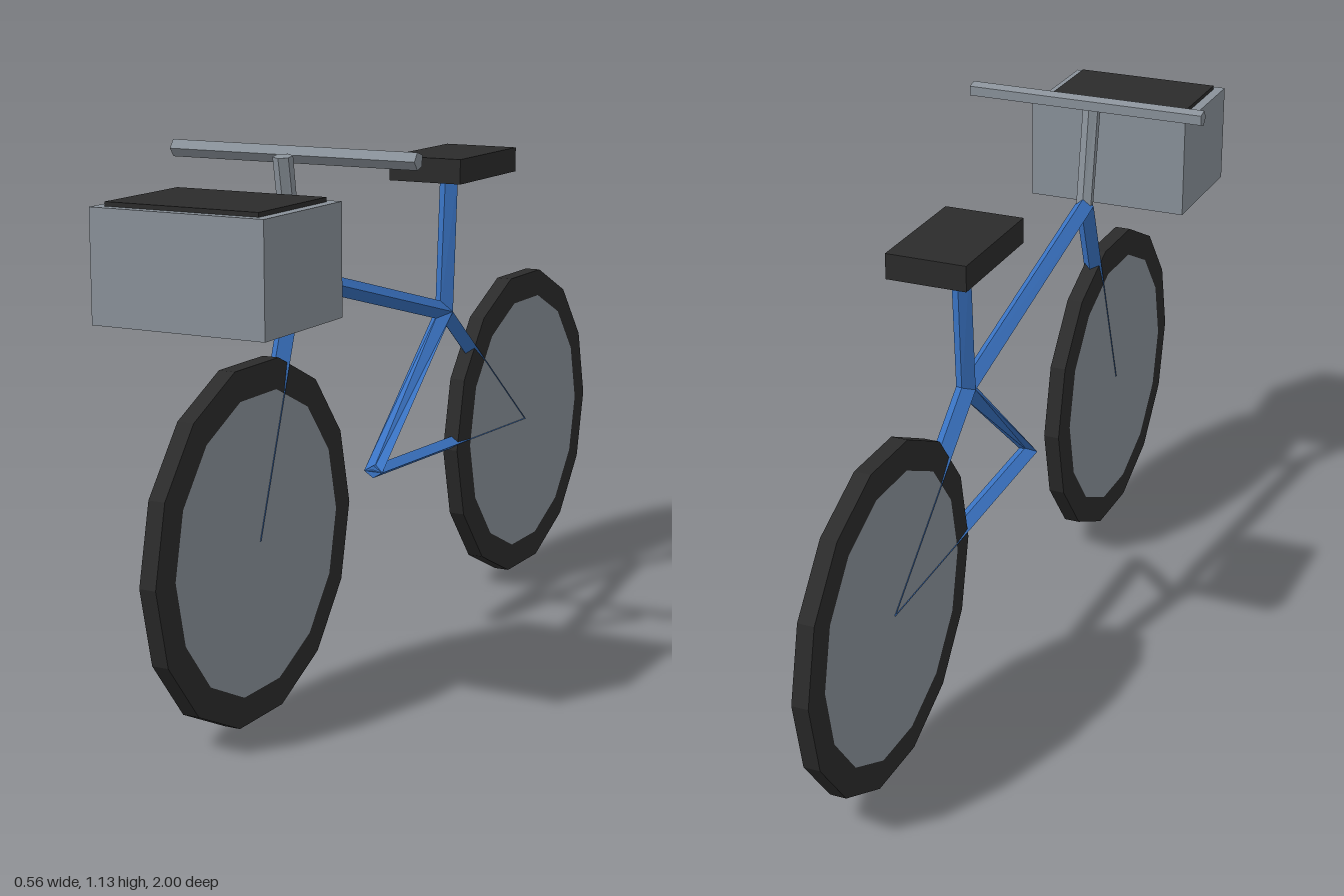
import * as THREE from 'three';

const paint = (name, color) => new THREE.MeshStandardMaterial({ name, color, flatShading: true });

export function createModel() {
  const blue = paint('frame blue', 0x3a74c4);
  const grey = paint('metal grey', 0x8a929a);
  const black = paint('rubber black', 0x2b2b2b);

  const bike = new THREE.Group();
  bike.name = 'bicycle';

  const add = (parent, name, geometry, material, x = 0, y = 0, z = 0) => {
    const mesh = new THREE.Mesh(geometry, material);
    mesh.name = name;
    mesh.position.set(x, y, z);
    parent.add(mesh);
    return mesh;
  };

  // Straight bar between two [z, y] points, with its own thickness at each end
  const bar = (name, a, b, ta, tb, material = blue, sides = 4, halfWidth = 0.0225) => {
    const dz = b[0] - a[0], dy = b[1] - a[1];
    const g = new THREE.CylinderGeometry(1, 1, Math.hypot(dz, dy), sides);
    const p = g.attributes.position;
    for (let i = 0; i < p.count; i++) {
      p.setX(i, p.getX(i) * halfWidth);
      p.setZ(i, p.getZ(i) * (p.getY(i) > 0 ? tb : ta));
    }
    g.rotateX(Math.atan2(dz, dy));
    add(bike, name, g, material, 0, (a[1] + b[1]) / 2, (a[0] + b[0]) / 2);
  };

  // Wheels: tyre narrows towards the tread, solid disc inside
  const hubZ = 0.63, hubY = 0.362;
  const tyreProfile = [[0.308, -0.021], [0.371, -0.018], [0.371, 0.018], [0.308, 0.021]]
    .map(([r, w]) => new THREE.Vector2(r, w));
  for (const [name, z] of [['frontWheel', hubZ], ['rearWheel', -hubZ]]) {
    const wheel = new THREE.Group();
    wheel.name = name;
    wheel.position.set(0, hubY, z);
    add(wheel, 'tyre', new THREE.LatheGeometry(tyreProfile, 14).rotateZ(Math.PI / 2), black);
    add(wheel, 'wheelDisc', new THREE.CylinderGeometry(0.308, 0.308, 0.042, 14).rotateZ(Math.PI / 2), grey);
    bike.add(wheel);
  }

  // Frame
  const head = [0.452, 0.872], seatJoint = [-0.225, 0.695], crank = [0.118, 0.393];
  const frontHub = [hubZ, 0.366], rearHub = [-hubZ, 0.366];
  bar('fork', frontHub, head, 0.02, 0.02);
  bar('topTube', head, seatJoint, 0.02, 0.021);
  bar('seatPost', seatJoint, [-0.248, 1.01], 0.021, 0.018);
  bar('seatStay', rearHub, seatJoint, 0.02, 0.021);
  bar('seatTube', crank, seatJoint, 0.003, 0.021);
  bar('chainStay', rearHub, crank, 0.014, 0.014);

  // Steering
  bar('stem', head, [0.492, 1.117], 0.014, 0.019, grey, 6, 0.021);
  add(bike, 'handlebar', new THREE.CylinderGeometry(0.0185, 0.0185, 0.56, 5).rotateZ(Math.PI / 2),
    grey, 0, 1.117, 0.45);

  // Saddle and front box with its dark lid
  add(bike, 'saddle', new THREE.BoxGeometry(0.176, 0.055, 0.29), black, 0, 1.027, -0.27);
  add(bike, 'basket', new THREE.BoxGeometry(0.38, 0.225, 0.29), grey, 0, 0.938, 0.74);
  add(bike, 'basketLid', new THREE.BoxGeometry(0.336, 0.009, 0.25), black, 0, 1.055, 0.74);

  return bike;
}
